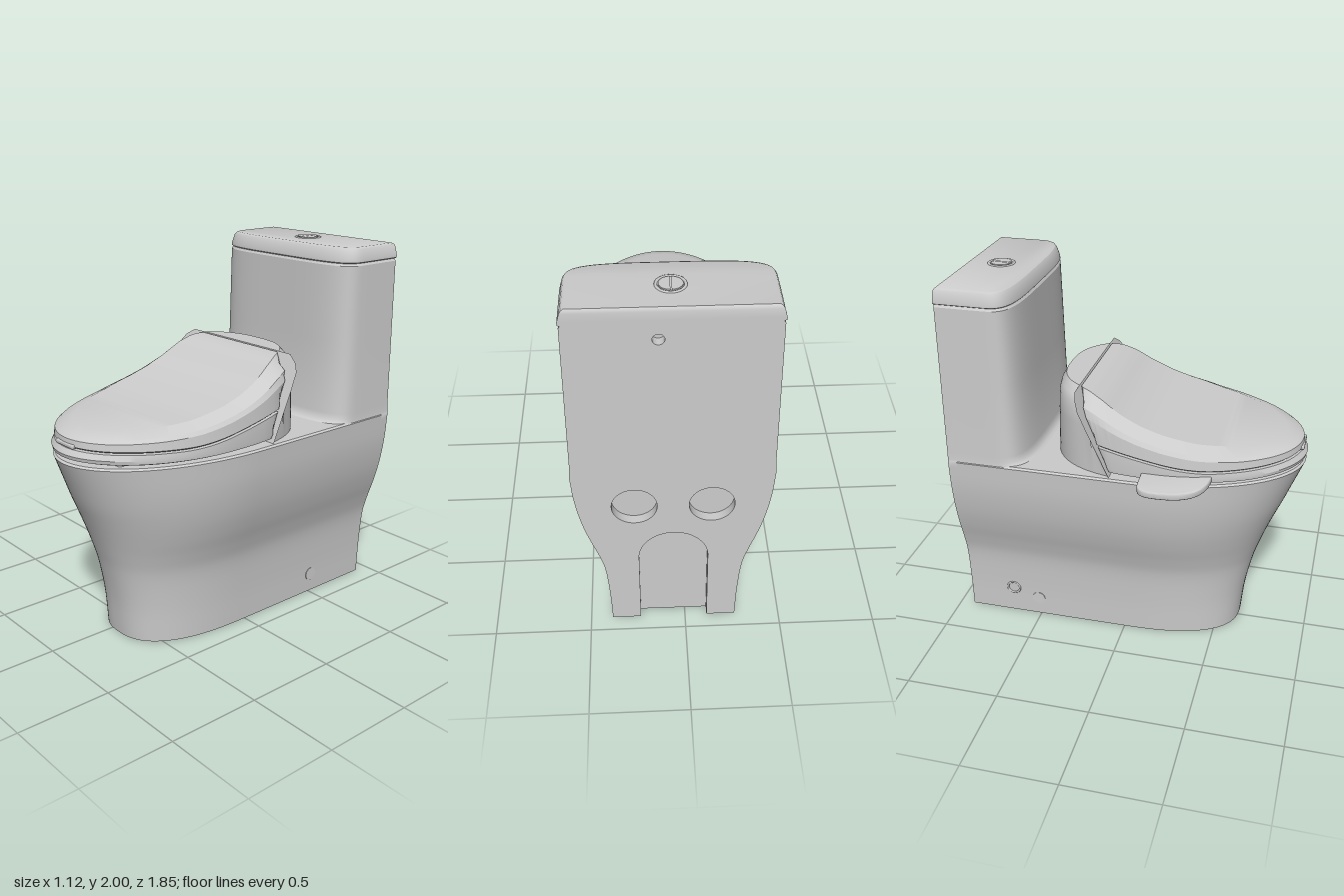
import * as THREE from 'three';
import { toCreasedNormals } from 'three/addons/utils/BufferGeometryUtils.js';
import { RoundedBoxGeometry } from 'three/addons/geometries/RoundedBoxGeometry.js';

const material = new THREE.MeshStandardMaterial({ color: 0xcccccc });
const BACK = -0.92, WALL = -0.87; // rear face, and the floor of its recesses

function add(parent, name, geometry, x = 0, y = 0, z = 0) {
  const mesh = new THREE.Mesh(geometry, material);
  mesh.name = name;
  mesh.position.set(x, y, z);
  parent.add(mesh);
  return mesh;
}

// Quarter superellipse from the widest point to the tip on the z axis
function quarter(hw, z0, zTip, n, steps = 28) {
  return Array.from({ length: steps + 1 }, (_, i) => {
    const a = (i / steps) * Math.PI / 2;
    const c = i === steps ? 0 : Math.cos(a);
    return [hw * c ** (2 / n), z0 + (zTip - z0) * Math.sin(a) ** (2 / n)];
  });
}

// Mirror a half outline (rear centre, +x side, front centre) into a closed loop
function closeLoop(half) {
  const mirrored = half.slice(1, -1).reverse().map(([x, z]) => [-x, z]);
  return [...half, ...mirrored];
}

// Square at the back, rounded at the front
const dLoop = (hw, zBack, z0, zFront, n) =>
  closeLoop([[0, zBack], [hw, zBack], ...quarter(hw, z0, zFront, n)]);

// Egg outline of the seat, with a blunt rear
const eggLoop = (hw, zBack, zFront) =>
  closeLoop([...quarter(hw, 0.22, zBack, 2.7).reverse(), ...quarter(hw, 0.22, zFront, 1.95).slice(1)]);

const atHeight = (loop, y) => loop.map(([x, z]) => [x, y, z]);

// Skin a stack of mirrored loops and close both ends with strips across x
function loft(loops, crease = 0.5) {
  const n = loops[0].length, pos = [];
  const quad = (a, b, c, d) => pos.push(...a, ...b, ...c, ...a, ...c, ...d);
  for (let j = 0; j < loops.length - 1; j++) {
    const lo = loops[j], hi = loops[j + 1];
    for (let i = 0; i < n; i++) {
      const k = (i + 1) % n;
      quad(lo[i], hi[i], hi[k], lo[k]);
    }
  }
  const bottom = loops[0], top = loops[loops.length - 1];
  for (let i = 0; i < n / 2; i++) {
    const m = (n - i) % n, m1 = n - i - 1;
    quad(top[i], top[m], top[m1], top[i + 1]);
    quad(bottom[i], bottom[i + 1], bottom[m1], bottom[m]);
  }
  const geometry = new THREE.BufferGeometry();
  geometry.setAttribute('position', new THREE.Float32BufferAttribute(pos, 3));
  return toCreasedNormals(geometry, crease);
}

// Pedestal profile: half width, height, front z
const bodyProfile = new THREE.CatmullRomCurve3([
  [0.325, 0, 0.62], [0.333, 0.2, 0.64], [0.352, 0.4, 0.68], [0.38, 0.5, 0.71], [0.415, 0.6, 0.745],
  [0.445, 0.7, 0.785], [0.467, 0.8, 0.828], [0.482, 0.9, 0.868], [0.493, 1.04, 0.925],
].map((p) => new THREE.Vector3(...p))).getPoints(36);

// Tank profile: half width, height, front z, flaring into the deck
const tankProfile = [
  [0.491, 1.045, -0.455], [0.49, 1.055, -0.478], [0.489, 1.07, -0.492], [0.488, 1.1, -0.5],
  [0.485, 1.5, -0.51], [0.482, 1.9, -0.52], [0.474, 1.912, -0.528],
];

function bodyGeometry() {
  const loops = bodyProfile.map((p) => {
    const t = p.y / 1.04;
    return atHeight(dLoop(p.x, WALL, 0.05 * t, p.z, 2.5 - 0.5 * t), p.y);
  });
  loops.push(atHeight(dLoop(0.483, WALL, 0.05, 0.914, 2), 1.05));
  return loft(loops);
}

// Rear panel following the silhouette, with its arch and openings
function rearPanelGeometry() {
  const side = [...bodyProfile.map((p) => [p.x, p.y]), ...tankProfile.map((p) => [p[0], p[1]])];
  const shape = new THREE.Shape();
  shape.moveTo(0.175, 0);
  side.forEach(([x, y]) => shape.lineTo(x, y));
  side.slice().reverse().forEach(([x, y]) => shape.lineTo(-x, y));
  shape.lineTo(-0.175, 0);
  shape.lineTo(-0.175, 0.465);
  shape.absarc(0, 0.465, 0.175, Math.PI, 0, true);
  for (const [x, y, r] of [[0.19, 0.83, 0.112], [-0.19, 0.83, 0.112], [0.06, 1.83, 0.028]]) {
    shape.holes.push(new THREE.Path().absarc(x, y, r, 0, Math.PI * 2, true));
  }
  const geometry = new THREE.ExtrudeGeometry(shape, { depth: WALL - BACK, bevelEnabled: false, curveSegments: 24 });
  return toCreasedNormals(geometry, 0.5);
}

// Heights along z: the seam under the cover, and the cover's top line
const topLine = [[-0.5, 1.475], [-0.24, 1.475], [-0.17, 1.462], [-0.1, 1.43], [0, 1.368], [0.1, 1.322],
  [0.2, 1.288], [0.4, 1.245], [0.6, 1.222], [0.82, 1.207], [1, 1.2]];
function topY(z) {
  const k = Math.max(1, topLine.findIndex((p) => p[0] >= z));
  const [a, b] = [topLine[k - 1], topLine[k]];
  return THREE.MathUtils.mapLinear(z, a[0], b[0], a[1], b[1]);
}
const seamY = (z) => 1.13 + 0.09 * THREE.MathUtils.smoothstep(-z, -0.5, 0.25);
const cutZ = (y) => -0.04 - 0.463 * (y - 1.07); // slanted joint in front of the housing

// Give a loop heights from a rule, keeping it in front of the joint
function frontLayer(loop, rule) {
  return loop.map(([x, z]) => {
    let zz = z;
    for (let i = 0; i < 12; i++) zz = Math.max(z, cutZ(rule(zz)));
    return [x, rule(zz), zz];
  });
}
const rearLayer = (loop, y) => loop.map(([x, z]) => [x, y, Math.min(z, cutZ(y) - 0.009)]);

function buildSeat(parent) {
  const seat = new THREE.Group();
  seat.name = 'seatAssembly';
  parent.add(seat);
  const outer = eggLoop(0.478, -0.41, 0.91);
  const inner = eggLoop(0.385, -0.37, 0.81);
  const mix = THREE.MathUtils.lerp;

  add(seat, 'seat', loft([
    frontLayer(eggLoop(0.455, -0.4, 0.9), () => 1.066),
    frontLayer(eggLoop(0.478, -0.41, 0.925), () => 1.076),
    frontLayer(eggLoop(0.48, -0.41, 0.93), () => 1.095),
    frontLayer(outer, (z) => seamY(z) - 0.007),
  ]));
  add(seat, 'seatCover', loft([
    frontLayer(eggLoop(0.468, -0.405, 0.9), seamY),
    frontLayer(outer, (z) => seamY(z) + 0.008),
    frontLayer(eggLoop(0.473, -0.408, 0.905), (z) => mix(seamY(z), topY(z), 0.55)),
    frontLayer(eggLoop(0.458, -0.402, 0.885), (z) => mix(seamY(z), topY(z), 0.72)),
    frontLayer(inner, topY),
  ], 0.35));
  add(seat, 'rearHousing', loft([
    rearLayer(outer, 1.052),
    rearLayer(eggLoop(0.474, -0.405, 0.91), 1.3),
    rearLayer(eggLoop(0.468, -0.4, 0.9), 1.4),
    rearLayer(eggLoop(0.44, -0.39, 0.88), 1.44),
    rearLayer(inner, 1.475),
  ]));
  add(seat, 'coverLip', new RoundedBoxGeometry(0.15, 0.022, 0.04, 2, 0.008), 0, 1.138, 0.895);

  // Feet between seat and rim
  for (const s of [-1, 1]) {
    for (const [x, z] of [[0.22, 0.7], [0.38, 0.15]]) {
      add(seat, 'seatFoot', new RoundedBoxGeometry(0.05, 0.03, 0.12, 2, 0.008), s * x, 1.058, z);
    }
  }

  // Side control panel
  const s = new THREE.Shape();
  s.moveTo(-0.4, 0.14);
  s.lineTo(-0.56, 0.14);
  s.bezierCurveTo(-0.61, 0.14, -0.622, 0.17, -0.622, 0.23);
  s.bezierCurveTo(-0.622, 0.36, -0.59, 0.45, -0.48, 0.475);
  s.lineTo(-0.36, 0.49);
  const arm = new THREE.ExtrudeGeometry(s, {
    depth: 0.022, bevelThickness: 0.008, bevelSize: 0.008, bevelSegments: 3, curveSegments: 16,
  });
  arm.rotateX(Math.PI / 2);
  const pos = arm.attributes.position; // droop towards the outer end
  for (let i = 0; i < pos.count; i++) pos.setY(i, pos.getY(i) + 0.12 * (pos.getX(i) + 0.4));
  add(seat, 'controlPanel', toCreasedNormals(arm, 0.6), 0, 1.107, 0);
}

function buildTank(parent) {
  const loops = tankProfile.map(([hw, y, z]) => atHeight(dLoop(hw, WALL, -0.7, z, 4), y));
  add(parent, 'tank', loft(loops));
  const lid = [
    [0.474, 1.912, -0.53, 0], [0.486, 1.918, -0.522, 0], [0.486, 1.93, -0.523, 0],
    [0.474, 1.975, -0.538, 0], [0.466, 1.988, -0.548, 0.004], [0.455, 1.994, -0.562, 0.01],
  ];
  add(parent, 'tankLid', loft(lid.map(([hw, y, z, b]) => atHeight(dLoop(hw, BACK - 0.003 + b, -0.7, z, 4), y))));

  // Split push button inside a ring
  const ring = add(parent, 'buttonRing', new THREE.TorusGeometry(0.066, 0.008, 8, 40), 0, 1.992, -0.74);
  ring.rotation.x = Math.PI / 2;
  for (const side of [0, 1]) {
    const half = new THREE.CylinderGeometry(0.052, 0.052, 0.014, 24, 1, false, side * Math.PI, Math.PI);
    add(parent, 'buttonHalf', half, side ? -0.003 : 0.003, 1.993, -0.74);
  }
}

export function createModel() {
  const root = new THREE.Group();
  root.name = 'toilet';
  const body = new THREE.Group();
  body.name = 'toiletBody';
  body.position.x = 0.06;
  root.add(body);

  add(body, 'pedestal', bodyGeometry());
  add(body, 'rearPanel', rearPanelGeometry(), 0, 0, BACK);
  buildTank(body);
  buildSeat(body);

  // Anchor bolt caps on both sides, and the inlet collar on one
  for (const s of [-1, 1]) {
    const cap = add(body, 'boltCap', new THREE.CylinderGeometry(0.037, 0.037, 0.014, 28), s * 0.326, 0.11, -0.51);
    cap.rotation.z = Math.PI / 2;
  }
  const collar = add(body, 'inletCollar', new THREE.TorusGeometry(0.036, 0.006, 8, 28), -0.331, 0.16, -0.66);
  collar.rotation.y = Math.PI / 2;
  return root;
}
